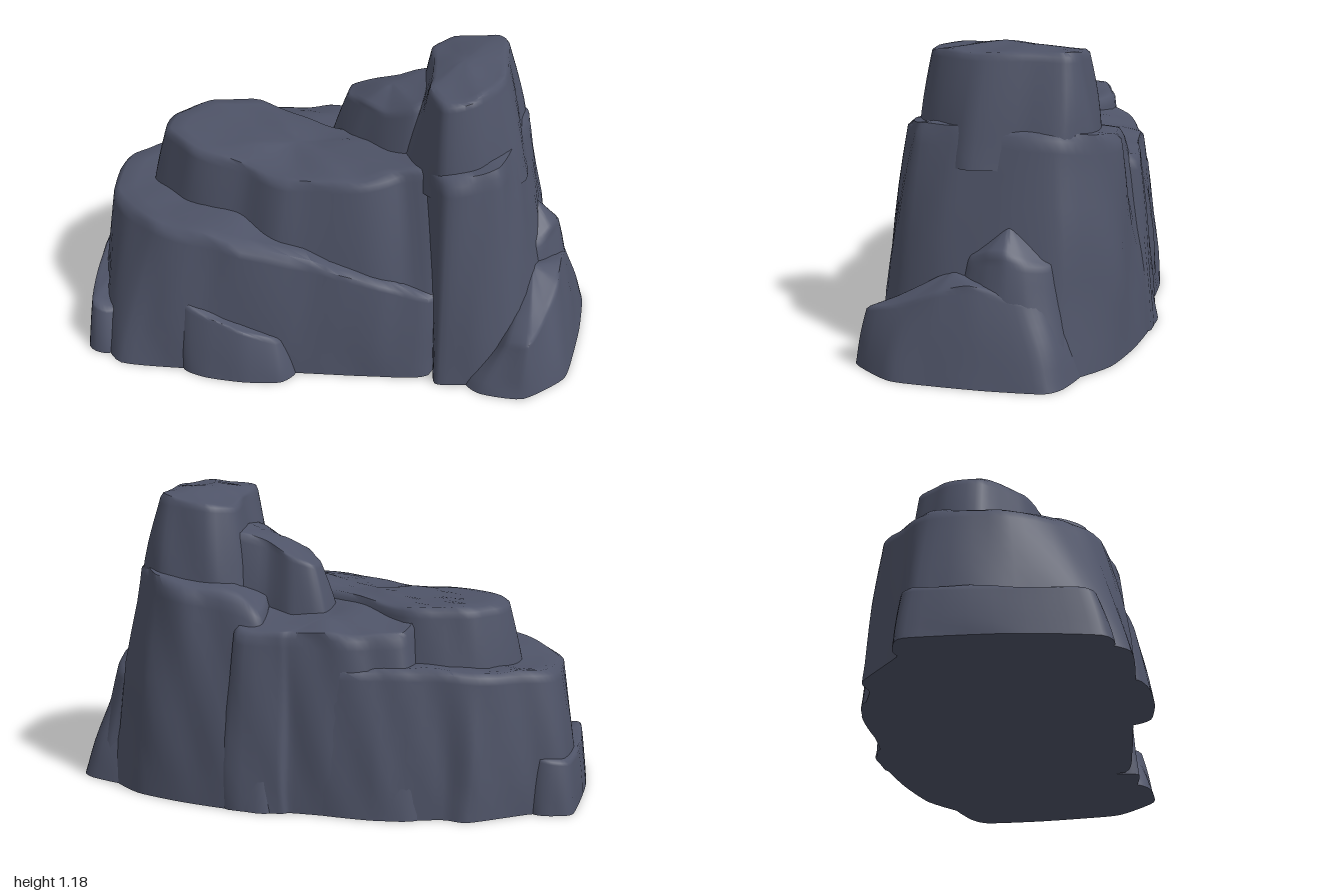
import * as THREE from 'three';
import { toCreasedNormals } from 'three/addons/utils/BufferGeometryUtils.js';

const rock = new THREE.MeshStandardMaterial({ color: 0x4f5468 });
rock.name = 'slate rock';

const lerp = THREE.MathUtils.lerp;

// Closed smooth curve through the given points, sampled evenly between corners
function loop(points, steps) {
  const curve = new THREE.CatmullRomCurve3(points, true, 'catmullrom', 0.3);
  return curve.getPoints(points.length * steps).slice(0, -1);
}

// Weathering: gentle vertical grooves that wander with height
const groove = (x, y, z) =>
  0.007 * Math.sin(17 * x + 4 * y + 9 * z) + 0.005 * Math.sin(31 * x - 7 * y - 23 * z);

// One rock mass lofted from a foot outline to a top outline.
// Each row is [foot x, foot z, top x, top z, top y]; crown is the height of the cap's middle.
function mass(name, footY, crown, rows) {
  const foot = loop(rows.map(r => new THREE.Vector3(r[0], footY, r[1])), 5);
  const top = loop(rows.map(r => new THREE.Vector3(r[2], r[4], r[3])), 5);
  const n = foot.length;
  const mid = top.reduce((a, p) => a.add(p), new THREE.Vector3()).divideScalar(n);
  const relief = Math.min(1, 1.5 * (crown - footY));
  const verts = [], index = [];
  const wall = [0, 0.12, 0.25, 0.4, 0.55, 0.7, 0.82, 0.92, 0.97];
  const cap = [0.96, 0.85, 0.65, 0.4, 0.2];

  for (const t of wall) {
    for (let i = 0; i < n; i++) {
      const p = foot[i].clone().lerp(top[i], t);
      const out = new THREE.Vector3(p.x - mid.x, 0, p.z - mid.z).normalize();
      const bulge = 0.01 * Math.sin(Math.PI * t) + groove(p.x, p.y, p.z) * Math.min(1, t * 5);
      p.addScaledVector(out, bulge * relief);
      verts.push(p.x, p.y, p.z);
    }
  }
  for (const s of cap) {
    for (let i = 0; i < n; i++) {
      const p = top[i];
      const x = lerp(mid.x, p.x, s), z = lerp(mid.z, p.z, s);
      verts.push(x, lerp(crown, p.y, s) + 0.6 * groove(x, 0, z), z);
    }
  }
  const rings = wall.length + cap.length;
  for (let r = 0; r < rings - 1; r++) {
    for (let i = 0; i < n; i++) {
      const a = r * n + i, b = r * n + (i + 1) % n;
      index.push(a, b, a + n, b, b + n, a + n);
    }
  }
  // Close the crown and the underside
  const crownId = rings * n, footId = crownId + 1;
  verts.push(mid.x, crown, mid.z);
  const fm = foot.reduce((a, p) => a.add(p), new THREE.Vector3()).divideScalar(n);
  verts.push(fm.x, footY, fm.z);
  for (let i = 0; i < n; i++) {
    const j = (i + 1) % n;
    index.push((rings - 1) * n + i, (rings - 1) * n + j, crownId, j, i, footId);
  }
  const geo = new THREE.BufferGeometry();
  geo.setAttribute('position', new THREE.Float32BufferAttribute(verts, 3));
  geo.setIndex(index);
  const mesh = new THREE.Mesh(toCreasedNormals(geo, 1.05), rock);
  mesh.name = name;
  return mesh;
}

export function createModel() {
  const g = new THREE.Group();
  g.name = 'rockOutcrop';
  // Outlines run front-left, along the front to +x, then round the back
  g.add(
    // Broad lower slab whose front ledge drops toward +x
    mass('lowerSlab', 0, 0.56, [
      [-0.97, 0.08, -0.91, 0.05, 0.54], [-0.90, 0.36, -0.79, 0.23, 0.55],
      [-0.80, 0.50, -0.66, 0.34, 0.57], [-0.50, 0.50, -0.37, 0.43, 0.56],
      [-0.10, 0.47, 0.02, 0.41, 0.47], [0.20, 0.45, 0.25, 0.39, 0.40],
      [0.42, 0.41, 0.43, 0.36, 0.35], [0.45, 0.10, 0.45, 0.10, 0.50],
      [0.30, -0.46, 0.28, -0.42, 0.56], [-0.08, -0.53, -0.08, -0.48, 0.57],
      [-0.30, -0.54, -0.30, -0.47, 0.57], [-0.53, -0.47, -0.53, -0.42, 0.57],
      [-0.63, -0.48, -0.66, -0.41, 0.56], [-0.84, -0.32, -0.82, -0.29, 0.55],
      [-0.97, -0.25, -0.91, -0.20, 0.54],
    ]),
    // Flat middle terrace, its back edge cut diagonally toward the knob
    mass('middleTerrace', 0.3, 0.785, [
      [-0.79, -0.03, -0.70, -0.04, 0.78], [-0.66, 0.14, -0.55, 0.10, 0.78],
      [-0.42, 0.26, -0.33, 0.18, 0.76], [-0.20, 0.36, -0.15, 0.27, 0.76],
      [0.14, 0.39, 0.13, 0.29, 0.79], [0.34, 0.36, 0.28, 0.24, 0.82],
      [0.46, 0.34, 0.40, 0.23, 0.84], [0.45, 0.00, 0.40, 0.00, 0.83],
      [0.15, -0.12, 0.13, -0.08, 0.80], [-0.03, -0.19, -0.04, -0.13, 0.79],
      [-0.22, -0.30, -0.20, -0.23, 0.78], [-0.38, -0.39, -0.37, -0.33, 0.78],
      [-0.60, -0.34, -0.58, -0.29, 0.78], [-0.75, -0.22, -0.68, -0.18, 0.78],
    ]),
    // Buttress at the back, its shelf sloping up to the knob
    mass('backButtress', 0, 0.73, [
      [-0.45, -0.20, -0.39, -0.28, 0.74], [-0.20, -0.10, -0.20, -0.18, 0.76],
      [0.00, 0.00, 0.00, -0.08, 0.77], [0.30, -0.10, 0.30, -0.10, 0.78],
      [0.32, -0.53, 0.28, -0.46, 0.70], [0.09, -0.55, 0.11, -0.48, 0.69],
      [0.05, -0.53, 0.06, -0.47, 0.69], [-0.10, -0.53, -0.10, -0.47, 0.69],
      [-0.27, -0.54, -0.24, -0.44, 0.69], [-0.44, -0.50, -0.37, -0.40, 0.70],
    ]),
    // Tall shoulder that carries the peak
    mass('towerShoulder', 0, 0.92, [
      [0.30, 0.10, 0.28, 0.08, 0.85], [0.42, 0.30, 0.37, 0.24, 0.87],
      [0.45, 0.46, 0.46, 0.34, 0.87], [0.58, 0.45, 0.56, 0.34, 0.88],
      [0.74, 0.40, 0.66, 0.29, 0.89], [0.86, 0.22, 0.70, 0.14, 0.90],
      [0.88, -0.05, 0.72, -0.05, 0.90], [0.86, -0.28, 0.72, -0.24, 0.89],
      [0.70, -0.43, 0.64, -0.37, 0.86], [0.50, -0.50, 0.48, -0.43, 0.84],
      [0.30, -0.54, 0.27, -0.43, 0.80], [0.12, -0.55, 0.19, -0.41, 0.75],
      [0.20, -0.15, 0.22, -0.15, 0.80],
    ]),
    // Summit block
    mass('peak', 0.75, 1.175, [
      [0.27, 0.10, 0.37, 0.06, 1.14], [0.32, 0.21, 0.37, 0.16, 1.14],
      [0.44, 0.32, 0.44, 0.26, 1.14], [0.59, 0.29, 0.56, 0.23, 1.16],
      [0.75, 0.11, 0.65, 0.06, 1.165], [0.74, -0.10, 0.64, -0.12, 1.17],
      [0.74, -0.25, 0.64, -0.25, 1.165], [0.62, -0.36, 0.59, -0.30, 1.16],
      [0.40, -0.36, 0.42, -0.31, 1.14], [0.29, -0.27, 0.35, -0.23, 1.13],
      [0.29, -0.06, 0.36, -0.07, 1.14],
    ]),
    // Knob leaning against the summit
    mass('knob', 0.65, 1.0, [
      [-0.07, -0.17, 0.02, -0.18, 0.92], [0.02, -0.04, 0.09, -0.07, 0.94],
      [0.16, 0.08, 0.19, 0.01, 0.95], [0.32, 0.14, 0.32, 0.06, 1.01],
      [0.42, -0.05, 0.42, -0.05, 1.06], [0.40, -0.29, 0.38, -0.24, 1.04],
      [0.22, -0.28, 0.22, -0.23, 0.99], [0.10, -0.33, 0.12, -0.27, 0.95],
      [-0.04, -0.31, 0.03, -0.26, 0.92],
    ]),
    // Skirt boulders around the foot
    mass('rightSkirt', 0, 0.38, [
      [0.58, 0.10, 0.62, 0.10, 0.40], [0.56, 0.42, 0.66, 0.36, 0.15],
      [0.63, 0.50, 0.72, 0.44, 0.20], [0.80, 0.51, 0.81, 0.46, 0.23],
      [0.95, 0.36, 0.87, 0.30, 0.28], [0.98, 0.20, 0.90, 0.18, 0.34],
      [1.00, 0.00, 0.91, 0.06, 0.36], [1.00, -0.22, 0.91, -0.12, 0.32],
      [0.93, -0.29, 0.87, -0.19, 0.32], [0.72, -0.33, 0.70, -0.24, 0.38],
    ]),
    mass('rightLedge', 0, 0.56, [
      [0.60, 0.10, 0.62, 0.05, 0.56], [0.84, 0.16, 0.80, 0.08, 0.44],
      [0.94, 0.07, 0.86, 0.01, 0.46], [0.97, -0.06, 0.88, -0.06, 0.47],
      [0.97, -0.18, 0.87, -0.13, 0.45], [0.89, -0.29, 0.81, -0.21, 0.44],
      [0.62, -0.32, 0.64, -0.22, 0.56],
    ]),
    mass('frontSkirt', 0, 0.23, [
      [-0.60, 0.35, -0.55, 0.35, 0.31], [-0.54, 0.51, -0.54, 0.46, 0.29],
      [-0.44, 0.55, -0.44, 0.50, 0.25], [-0.29, 0.56, -0.30, 0.51, 0.21],
      [-0.15, 0.54, -0.18, 0.49, 0.16], [-0.10, 0.47, -0.15, 0.43, 0.16],
      [-0.14, 0.33, -0.18, 0.33, 0.22],
    ]),
    mass('leftSkirt', 0, 0.21, [
      [-1.00, 0.10, -0.98, 0.08, 0.19], [-0.95, 0.41, -0.94, 0.36, 0.19],
      [-0.85, 0.44, -0.86, 0.38, 0.17], [-0.72, 0.20, -0.72, 0.20, 0.20],
      [-0.72, -0.20, -0.72, -0.20, 0.22], [-0.86, -0.32, -0.86, -0.29, 0.22],
      [-0.93, -0.32, -0.92, -0.29, 0.21], [-1.00, -0.27, -0.98, -0.24, 0.20],
    ]),
  );
  return g;
}
